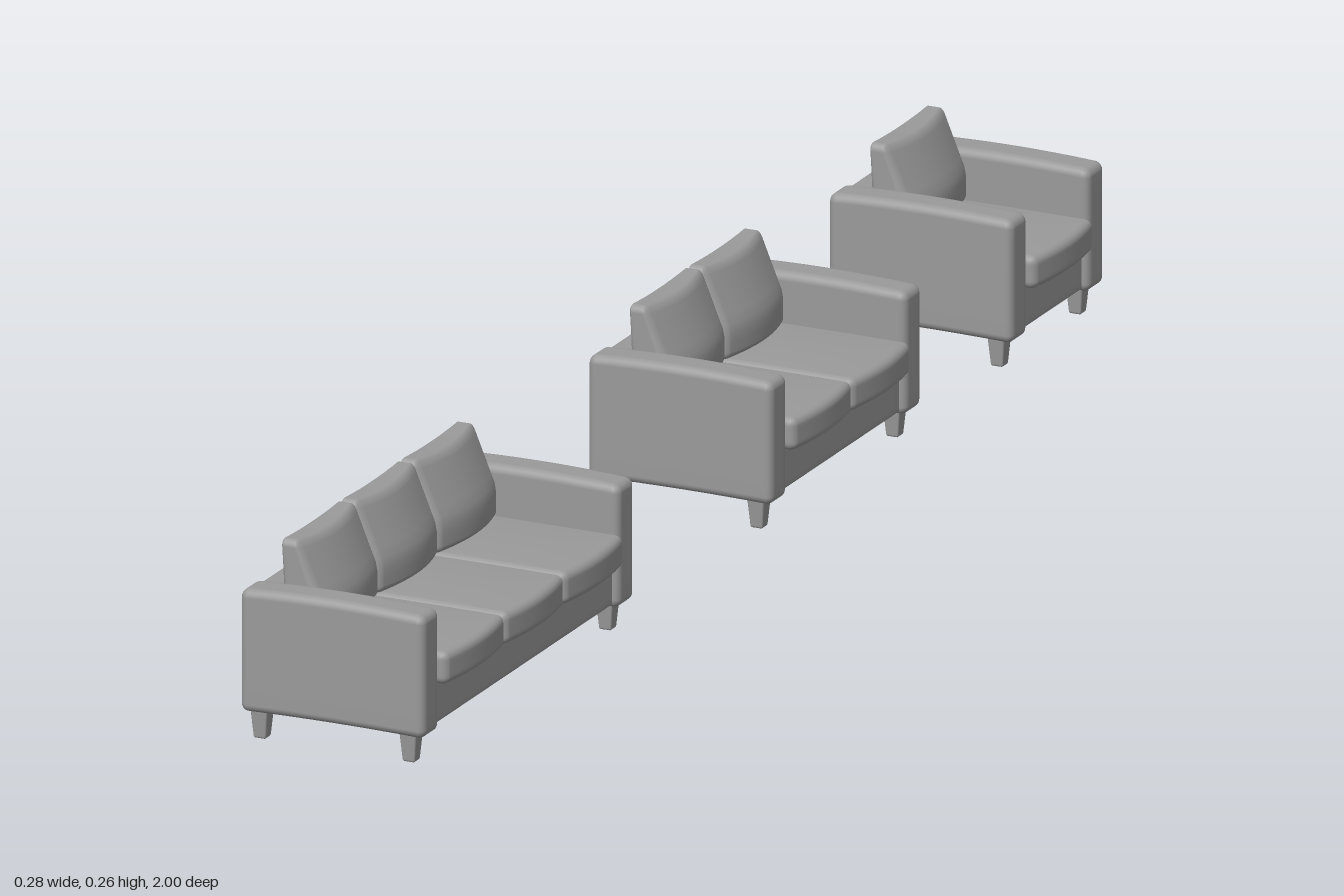
import * as THREE from 'three';
import { mergeVertices } from 'three/addons/utils/BufferGeometryUtils.js';

const material = new THREE.MeshStandardMaterial({ color: 0x9a9a9a });
const N = 14; // divisions along each side of a padded block
const EDGE = [1, 0.6, 0.25]; // share of the radius at the outer grid lines

// Rounded block between two corners; warp(p, u, v, w) may move each point (u, v, w run -1..1)
function padded(name, min, max, r, warp) {
  const lo = new THREE.Vector3(...min), hi = new THREE.Vector3(...max);
  const half = hi.clone().sub(lo).multiplyScalar(0.5);
  const mid = hi.clone().add(lo).multiplyScalar(0.5);
  const place = (t, h) => {
    const i = Math.round((t + 0.5) * N), k = Math.min(i, N - i);
    const s = i < N / 2 ? -1 : 1;
    if (k < 3) return s * (h - r + r * EDGE[k]);
    return ((i - N / 2) / (N / 2 - 3)) * (h - r);
  };
  let geo = new THREE.BoxGeometry(1, 1, 1, N, N, N);
  geo.deleteAttribute('uv');
  geo.deleteAttribute('normal');
  geo = mergeVertices(geo, 1e-5);
  const pos = geo.attributes.position;
  const inner = half.clone().subScalar(r), outer = inner.clone().negate();
  const p = new THREE.Vector3(), c = new THREE.Vector3();
  for (let i = 0; i < pos.count; i++) {
    p.set(place(pos.getX(i), half.x), place(pos.getY(i), half.y), place(pos.getZ(i), half.z));
    c.copy(p).clamp(outer, inner);
    p.sub(c).setLength(r).add(c);
    const u = p.x / half.x, v = p.y / half.y, w = p.z / half.z;
    p.add(mid);
    if (warp) warp(p, u, v, w);
    pos.setXYZ(i, p.x, p.y, p.z);
  }
  geo.computeVertexNormals();
  const mesh = new THREE.Mesh(geo, material);
  mesh.name = name;
  return mesh;
}

// Armrest panel, slightly crowned on top and hollow underneath
function armrest(z0, z1) {
  return padded('armrest', [-0.14, 0.037, z0], [0.122, 0.203, z1], 0.011, (p, u, v) => {
    p.y += 0.004 * (1 - u * u) * (v > 0 ? v : -v * 0.5);
  });
}

// Seat cushion with a bowed front edge
function seatCushion(z0, z1) {
  return padded('seatCushion', [-0.104, 0.097, z0], [0.13, 0.141, z1], 0.01, (p, u, v, w) => {
    if (u > 0) p.x += 0.009 * u * (1 - w * w);
    if (v > 0) p.y += 0.003 * v * (1 - w * w) * (1 - u * u);
  });
}

// Wedge-shaped back cushion: upright behind, puffed and sloping in front
function backCushion(z0, z1) {
  return padded('backCushion', [-0.106, 0.139, z0], [-0.05, 0.26, z1], 0.01, (p, u, v, w) => {
    const f = (u + 1) / 2, t = (v + 1) / 2;
    const puff = 0.014 * (1 - w * w);
    const slope = 0.034 * Math.max(0, (t - 0.35) / 0.65);
    p.x += f * (puff - slope) + 0.005 * (1 - t) * (1 - f);
    if (v > 0) p.y += 0.002 * v * (w * w - 0.2);
  });
}

// Tapered foot with softened corners
function leg(x, z) {
  return padded('leg', [x - 0.0125, 0, z - 0.0125], [x + 0.0125, 0.044, z + 0.0125], 0.003, (p, u, v) => {
    const taper = 0.84 + 0.16 * v;
    p.x = x + (p.x - x) * taper;
    p.z = z + (p.z - z) * taper;
  });
}

// One seat unit facing +x, spanning z0..z1
function sofa(name, z0, z1, seats) {
  const g = new THREE.Group();
  g.name = name;
  const arm = 0.05, a = z0 + arm, b = z1 - arm;
  g.add(armrest(z0, a), armrest(b, z1));
  g.add(padded('seatBase', [-0.13, 0.04, a - 0.006], [0.113, 0.102, b + 0.006], 0.006));
  g.add(padded('backrest', [-0.138, 0.039, a - 0.006], [-0.103, 0.198, b + 0.006], 0.009));
  const step = (b - a) / seats;
  for (let i = 0; i < seats; i++) {
    const s = a + i * step;
    g.add(seatCushion(s, s + step), backCushion(s, s + step));
  }
  for (const x of [-0.118, 0.094]) {
    for (const z of [z0 + 0.023, z1 - 0.023]) g.add(leg(x, z));
  }
  return g;
}

export function createModel() {
  const model = new THREE.Group();
  model.name = 'sofaSet';
  model.add(
    sofa('threeSeatSofa', 0.378, 1, 3),
    sofa('twoSeatSofa', -0.464, -0.02, 2),
    sofa('armchair', -1, -0.725, 1)
  );
  return model;
}
